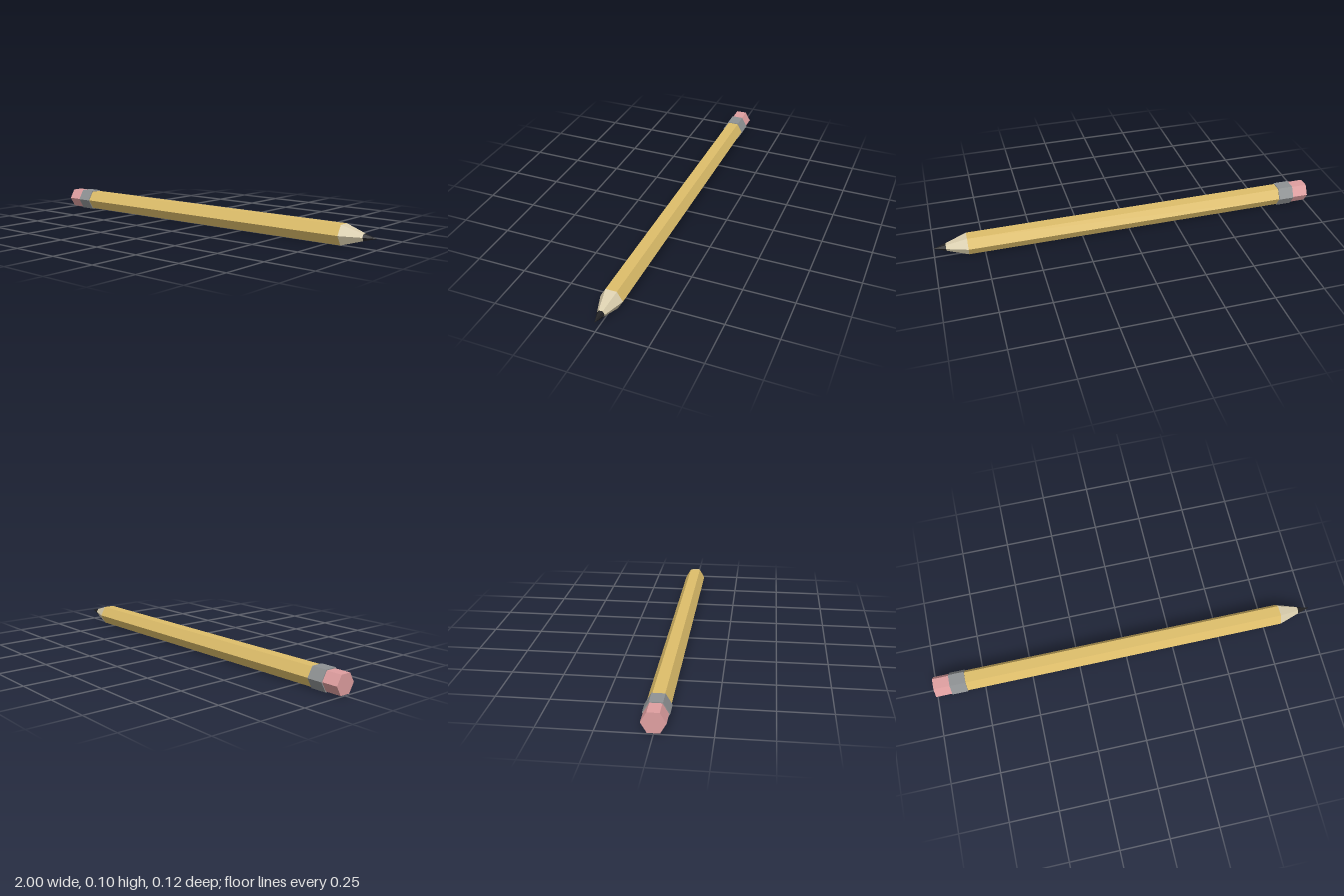
import * as THREE from 'three';

const material = (name, color) => {
  const m = new THREE.MeshStandardMaterial({ color, flatShading: true });
  m.name = name;
  return m;
};

export function createModel() {
  const group = new THREE.Group();
  group.name = 'pencil';
  const centreY = 0.052;

  // Six-sided section along x, with corners pointing to +z and -z
  const section = (name, x0, x1, r0, r1, mat) => {
    const geometry = new THREE.CylinderGeometry(r1, r0, x1 - x0, 6);
    geometry.rotateZ(-Math.PI / 2);
    const mesh = new THREE.Mesh(geometry, mat);
    mesh.name = name;
    mesh.position.set((x0 + x1) / 2, centreY, 0);
    group.add(mesh);
  };

  // Eraser end, metal band and painted shaft
  section('eraser', -1, -0.915, 0.055, 0.055, material('eraser pink', 0xdf9fa0));
  section('ferrule', -0.917, -0.836, 0.06, 0.06, material('metal grey', 0x8f9294));
  section('shaft', -0.838, 0.832, 0.055, 0.055, material('yellow paint', 0xdebe6a));

  // Sharpened wood and lead point
  section('sharpenedWood', 0.832, 0.938, 0.055, 0.019, material('bare wood', 0xdbcfae));
  section('leadPoint', 0.938, 1, 0.019, 0, material('dark lead', 0x202022));

  return group;
}
